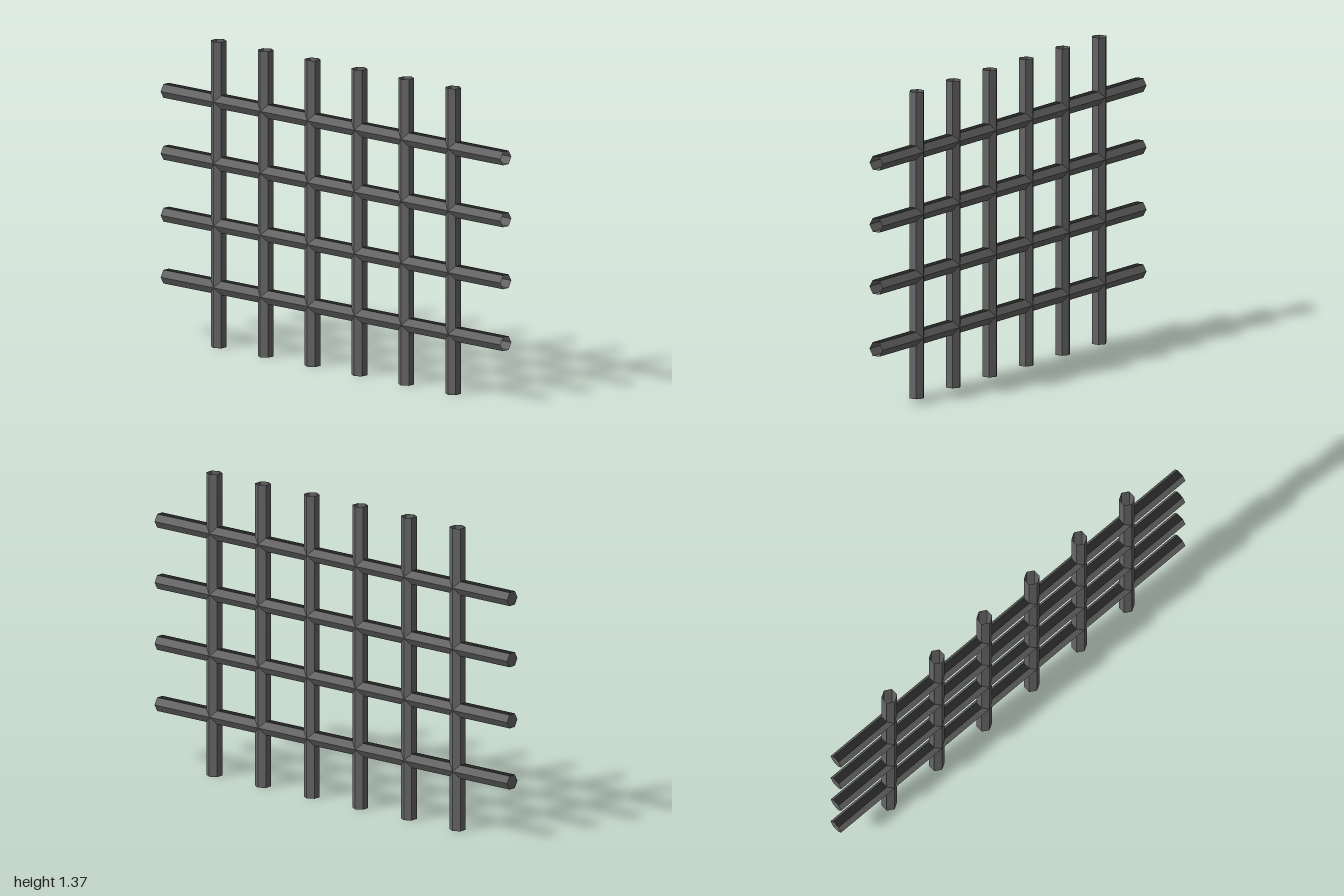
import * as THREE from 'three';

export function createModel() {
  const group = new THREE.Group();
  group.name = 'barGrille';

  const paint = (name, color) => {
    const material = new THREE.MeshStandardMaterial({ color, flatShading: true, side: THREE.DoubleSide });
    material.name = name;
    return material;
  };
  const iron = paint('grey iron', 0x666666);
  const darkIron = paint('dark iron', 0x242424);

  const radius = 0.035, height = 1.365, width = 2, pitch = 0.276;

  // Six-sided tube with ridges at front and back, open at its upper end and closed at its lower end;
  // sideMaterials picks the material index of each of its six faces
  const bar = (name, length, sideMaterials) => {
    const geometry = new THREE.CylinderGeometry(radius, radius, length, 6);
    geometry.clearGroups();
    sideMaterials.forEach((index, face) => geometry.addGroup(face * 6, 6, index));
    geometry.addGroup(54, 18, 0);
    const mesh = new THREE.Mesh(geometry, [iron, darkIron]);
    mesh.name = name;
    group.add(mesh);
    return mesh;
  };

  // Six uprights
  for (let i = 0; i < 6; i++) {
    const upright = bar(`uprightBar${i + 1}`, height, [0, 0, 0, 0, 0, 0]);
    upright.position.set((i - 2.5) * pitch, height / 2, 0);
  }

  // Four crossbars with dark top faces, open at the left end
  for (let i = 0; i < 4; i++) {
    const cross = bar(`crossBar${i + 1}`, width, [0, 0, 0, 0, 1, 0]);
    cross.rotation.z = -Math.PI / 2;
    cross.position.y = height / 2 + (i - 1.5) * pitch;
  }

  return group;
}
